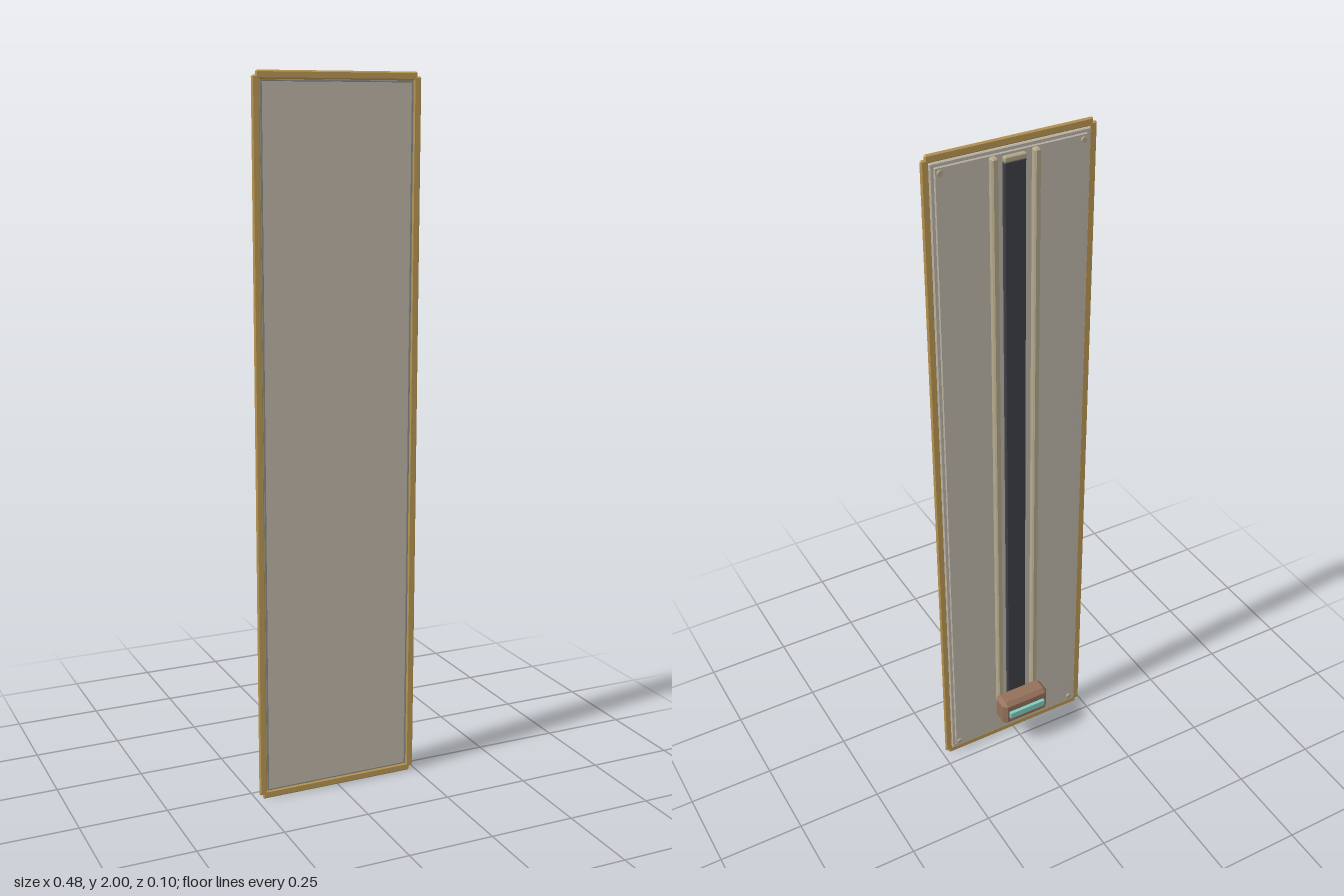
import * as THREE from 'three';
import { ConvexGeometry } from 'three/addons/geometries/ConvexGeometry.js';

const mat = (name, color) => {
  const m = new THREE.MeshStandardMaterial({ color });
  m.name = name;
  return m;
};

// Box given by its limits, with every edge cut by a chamfer
function chamferBox([x0, x1], [y0, y1], [z0, z1], c) {
  const h = [(x1 - x0) / 2, (y1 - y0) / 2, (z1 - z0) / 2];
  const pts = [];
  for (const sx of [-1, 1]) for (const sy of [-1, 1]) for (const sz of [-1, 1]) {
    for (let full = 0; full < 3; full++) {
      const p = h.map((v, i) => (i === full ? v : v - c));
      pts.push(new THREE.Vector3(sx * p[0], sy * p[1], sz * p[2]));
    }
  }
  const g = new ConvexGeometry(pts);
  g.translate((x0 + x1) / 2, (y0 + y1) / 2, (z0 + z1) / 2);
  return g;
}

export function createModel() {
  const model = new THREE.Group();
  model.name = 'doorPanel';
  const gold = mat('gold', 0xbd9a55);
  const stone = mat('stone', 0xc2baab);
  const grey = mat('trim grey', 0x8d918e);
  const cream = mat('rail cream', 0xb5a98c);
  const dark = mat('dark strip', 0x404147);
  const brown = mat('brown', 0x94705a);
  const teal = mat('teal', 0x80cdbf);

  const add = (name, geometry, material) => {
    const mesh = new THREE.Mesh(geometry, material);
    mesh.name = name;
    model.add(mesh);
    return mesh;
  };

  // Main panel and its stepped back plate
  add('panel', chamferBox([-0.222, 0.222], [0.022, 1.978], [0.036, 0.0455], 0.003), stone);
  add('backPlate', chamferBox([-0.211, 0.211], [0.033, 1.967], [0.0325, 0.0385], 0.0025), stone);

  // Frame bars and the thin trim lines inside them
  for (const s of [-1, 1]) {
    const span = (a, b) => (s > 0 ? [a, b] : [-b, -a]);
    const spanY = (a, b) => (s > 0 ? [1 + a, 1 + b] : [1 - b, 1 - a]);
    add('sideFrame', chamferBox(span(0.219, 0.242), [0.012, 1.988], [0.04, 0.0495], 0.004), gold);
    add('endFrame', chamferBox([-0.231, 0.231], spanY(0.977, 1), [0.04, 0.0495], 0.004), gold);
    add('sideTrim', chamferBox(span(0.213, 0.2195), [0.023, 1.977], [0.042, 0.0465], 0.001), grey);
    add('endTrim', chamferBox([-0.219, 0.219], spanY(0.972, 0.9775), [0.042, 0.0465], 0.001), grey);

    // Vertical rail on the back
    add('rail', chamferBox(span(0.05, 0.068), [0.115, 1.965], [0.012, 0.033], 0.004), cream);

    // Corner studs
    for (const y of [0.048, 1.952]) {
      const stud = add('stud', new THREE.CylinderGeometry(0.0075, 0.0075, 0.008, 10), cream);
      stud.rotation.x = Math.PI / 2;
      stud.position.set(s * 0.198, y, 0.031);
    }
  }

  // Dark centre strip with a pale cap at its top
  add('centreStrip', chamferBox([-0.031, 0.031], [0.11, 1.945], [0.02, 0.033], 0.003), dark);
  add('stripCap', chamferBox([-0.031, 0.031], [1.944, 1.96], [0.018, 0.032], 0.003), cream);

  // Handle block with its coloured inset
  add('handleBlock', chamferBox([-0.078, 0.078], [0.113, 0.2], [-0.0415, 0.021], 0.012), brown);
  add('handleInset', chamferBox([-0.06, 0.06], [0.146, 0.168], [-0.0515, -0.038], 0.001), teal);

  return model;
}
